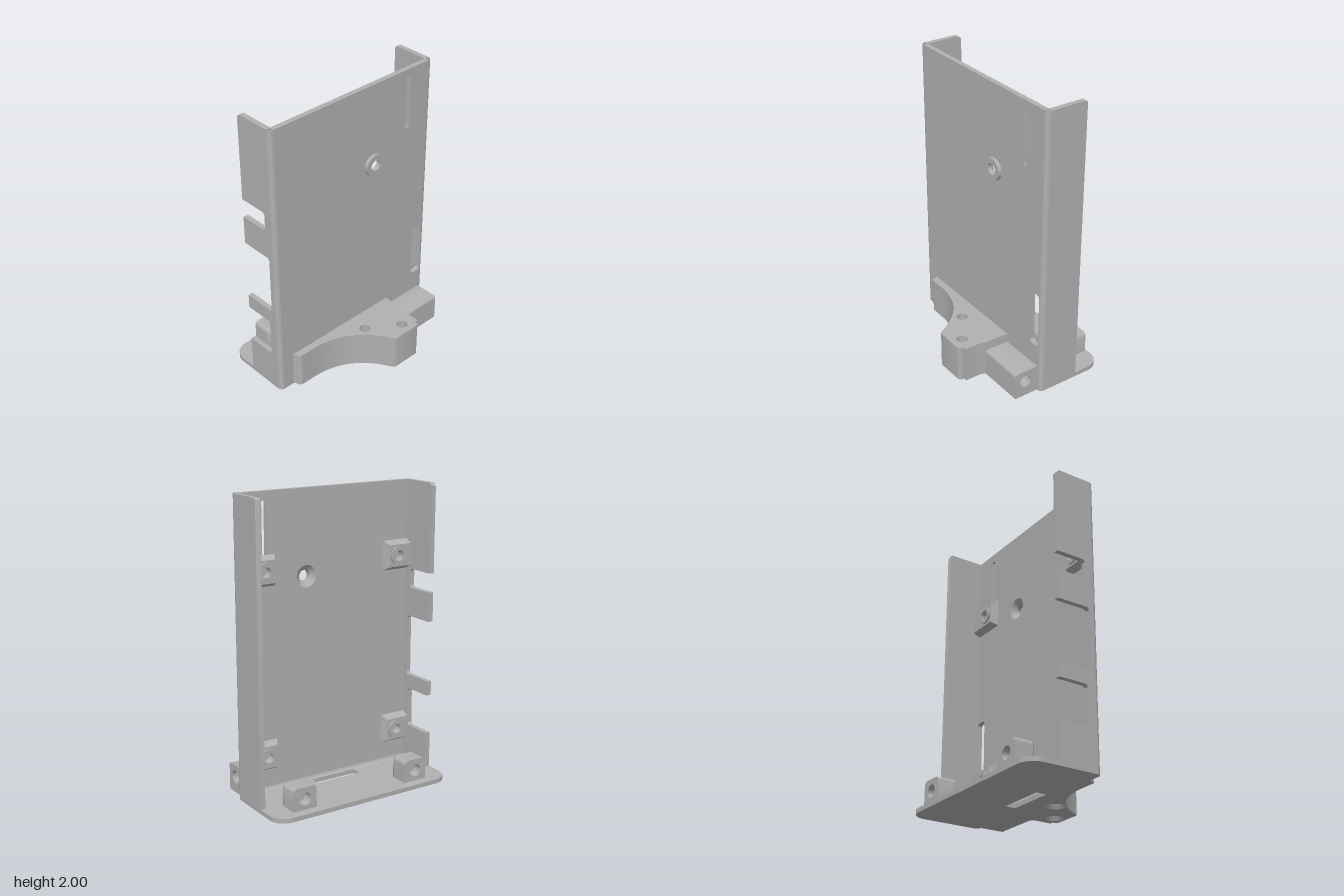
import * as THREE from 'three';
import { toCreasedNormals } from 'three/addons/utils/BufferGeometryUtils.js';
import { RoundedBoxGeometry } from 'three/addons/geometries/RoundedBoxGeometry.js';

const grey = new THREE.MeshStandardMaterial({ color: 0xb0b0b0, side: THREE.DoubleSide });
grey.name = 'grey plastic';

// closed shape from corner points
const poly = (pts) => new THREE.Shape(pts.map(([x, y]) => new THREE.Vector2(x, y)));

// rectangle with one radius per corner: [x0y0, x1y0, x1y1, x0y1]
function rect(x0, y0, x1, y1, r = [0, 0, 0, 0]) {
  const s = new THREE.Shape();
  const [a, b, c, d] = r;
  s.moveTo(x0 + a, y0).lineTo(x1 - b, y0);
  if (b) s.absarc(x1 - b, y0 + b, b, -Math.PI / 2, 0);
  s.lineTo(x1, y1 - c);
  if (c) s.absarc(x1 - c, y1 - c, c, 0, Math.PI / 2);
  s.lineTo(x0 + d, y1);
  if (d) s.absarc(x0 + d, y1 - d, d, Math.PI / 2, Math.PI);
  s.lineTo(x0, y0 + a);
  if (a) s.absarc(x0 + a, y0 + a, a, Math.PI, Math.PI * 1.5);
  return s;
}

const circle = (x, y, r) => new THREE.Path().absarc(x, y, r, 0, Math.PI * 2);

function withHoles(shape, ...holes) {
  shape.holes.push(...holes);
  return shape;
}

// extrusions between two positions on an axis; the shape lies in xy, xz or zy
function extrude(shape, axis, from, to) {
  const g = new THREE.ExtrudeGeometry(shape, { depth: to - from, bevelEnabled: false, curveSegments: 12 });
  if (axis === 'z') g.translate(0, 0, from);
  if (axis === 'y') g.rotateX(Math.PI / 2).translate(0, to, 0);
  if (axis === 'x') g.rotateY(-Math.PI / 2).translate(to, 0, 0);
  return g;
}

const lathe = (pts) => new THREE.LatheGeometry(pts.map(([r, y]) => new THREE.Vector2(r, y)), 32);

export function createModel() {
  const model = new THREE.Group();
  model.name = 'deviceMount';
  const add = (name, geometry) => {
    const mesh = new THREE.Mesh(toCreasedNormals(geometry, 0.6), grey);
    mesh.name = name;
    model.add(mesh);
    return mesh;
  };

  const W = 0.675, inner = 0.64, front = 0.075, plateBack = 0.04, R = 0.03;

  // front panel with two slots and the screw hole
  add('frontPanel', extrude(withHoles(rect(-W + R, 0, W - R, 2),
    rect(0.45, 1.58, 0.485, 1.94),
    rect(0.555, 0.34, 0.64, 0.73, [0.02, 0.02, 0.02, 0.02]),
    circle(0.16, 1.43, 0.074)), 'z', plateBack, front));

  // raised rim with a countersink on the inside
  add('screwCollar', lathe([[0.074, plateBack], [0.038, 0.068], [0.038, 0.1], [0.075, 0.1], [0.075, 0.06]])
    .rotateX(Math.PI / 2).translate(0.16, 1.43, 0));

  // rounded front corners
  for (const side of [-1, 1]) {
    const corner = new THREE.Shape();
    const cx = side * (W - R), cz = front - R;
    corner.moveTo(cx, cz).absarc(cx, cz, R, side > 0 ? 0 : Math.PI / 2, side > 0 ? Math.PI / 2 : Math.PI);
    add('cornerEdge', extrude(corner, 'y', 0, 2));
  }

  // side walls: the left is whole, the right has three open notches
  const z0 = -0.22, z1 = front - R;
  add('leftWall', extrude(rect(z0, 0, z1, 2, [0, 0, 0, 0.02]), 'x', inner, W));
  const edge = [[z1, 0], [z1, 2], [z0 + 0.02, 2], [z0, 1.98]];
  for (const [top, bottom, depth] of [[1.4, 1.27, -0.01], [1.07, 0.65, 0.015], [0.55, 0.28, -0.01]]) {
    edge.push([z0, top], [depth - 0.015, top], [depth, top - 0.015],
      [depth, bottom + 0.015], [depth - 0.015, bottom], [z0, bottom]);
  }
  edge.push([z0, 0]);
  add('rightWall', extrude(poly(edge), 'x', -W, -inner));

  // base plate with slot
  add('basePlate', extrude(withHoles(rect(-W, -0.44, W, front, [0.11, 0.11, R, R]),
    rect(-0.2, -0.055, 0.14, 0.02)), 'y', 0, 0.03));
  add('baseFillet', extrude(poly([[0.02, 0.03], [plateBack, 0.03], [plateBack, 0.05], [0.034, 0.036]]), 'x', -inner, inner));

  // screw posts on the base, bored from behind
  for (const x of [-0.405, 0.46]) {
    add('basePost', extrude(withHoles(rect(x - 0.085, 0.01, x + 0.085, 0.2, [0, 0, 0.03, 0.03]),
      circle(x, 0.12, 0.043)), 'z', -0.41, -0.29));
    add('basePostFront', new RoundedBoxGeometry(0.17, 0.2, 0.08, 4, 0.03).translate(x, 0.1, -0.3));
    add('basePostFoot', new THREE.CylinderGeometry(0.122, 0.148, 0.02, 4, 1)
      .rotateY(Math.PI / 4).translate(x, 0.038, -0.325));
  }

  // screw bosses inside the panel, flared where they meet it
  for (const y of [0.27, 1.5]) {
    for (const [x, a, b] of [[-0.54, -inner, -0.47], [0.49, 0.42, inner]]) {
      const g = extrude(withHoles(rect(a, -0.075, b, 0.075), circle(x, 0, 0.035)), 'z', -0.008, plateBack);
      const p = g.attributes.position;
      for (let i = 0; i < p.count; i++) {
        if (p.getZ(i) > 0.03 && Math.abs(p.getY(i)) > 0.07) {
          p.setY(i, p.getY(i) * 1.35);
          if (Math.abs(p.getX(i)) < 0.6) p.setX(i, p.getX(i) - Math.sign(x) * 0.025);
        }
      }
      add('boss', g.translate(0, y, 0));
      add('bossRing', lathe([[0.035, 0.0], [0.035, -0.02], [0.063, -0.02], [0.063, 0.0]])
        .rotateX(Math.PI / 2).translate(x, y, 0));
    }
  }

  // curved front bracket with two vertical holes, countersunk below
  const holes = [[-0.03, 0.21], [0.185, 0.355]];
  const bracket = (r) => {
    const s = new THREE.Shape();
    s.moveTo(-0.57, 0.07).quadraticCurveTo(-0.555, 0.08, -0.55, 0.1);
    s.quadraticCurveTo(-0.545, 0.125, -0.52, 0.125).lineTo(-0.42, 0.125);
    s.bezierCurveTo(-0.22, 0.125, -0.07, 0.22, 0.03, 0.41);
    s.quadraticCurveTo(0.04, 0.435, 0.06, 0.435).lineTo(0.245, 0.435);
    s.quadraticCurveTo(0.268, 0.435, 0.268, 0.4).lineTo(0.293, 0.4);
    s.lineTo(0.293, 0.29).lineTo(0.305, 0.25).lineTo(0.31, 0.07);
    return withHoles(s, ...holes.map(([x, z]) => circle(x, z, r)));
  };
  add('bracket', extrude(bracket(0.037), 'y', 0.05, 0.255));
  add('bracketBottom', extrude(bracket(0.06), 'y', 0, 0.05));
  for (const [x, z] of holes) add('countersink', lathe([[0.06, 0], [0.037, 0.05]]).translate(x, 0, z));

  // side block of the bracket, bored from its end
  const block = () => rect(0.07, 0, 0.25, 0.19, [0, 0, 0.02, 0]);
  add('sideBlock', extrude(block(), 'x', 0.28, 0.45));
  add('sideBlockEnd', extrude(withHoles(block(), circle(0.17, 0.11, 0.044)), 'x', 0.45, 0.64));

  return model;
}
